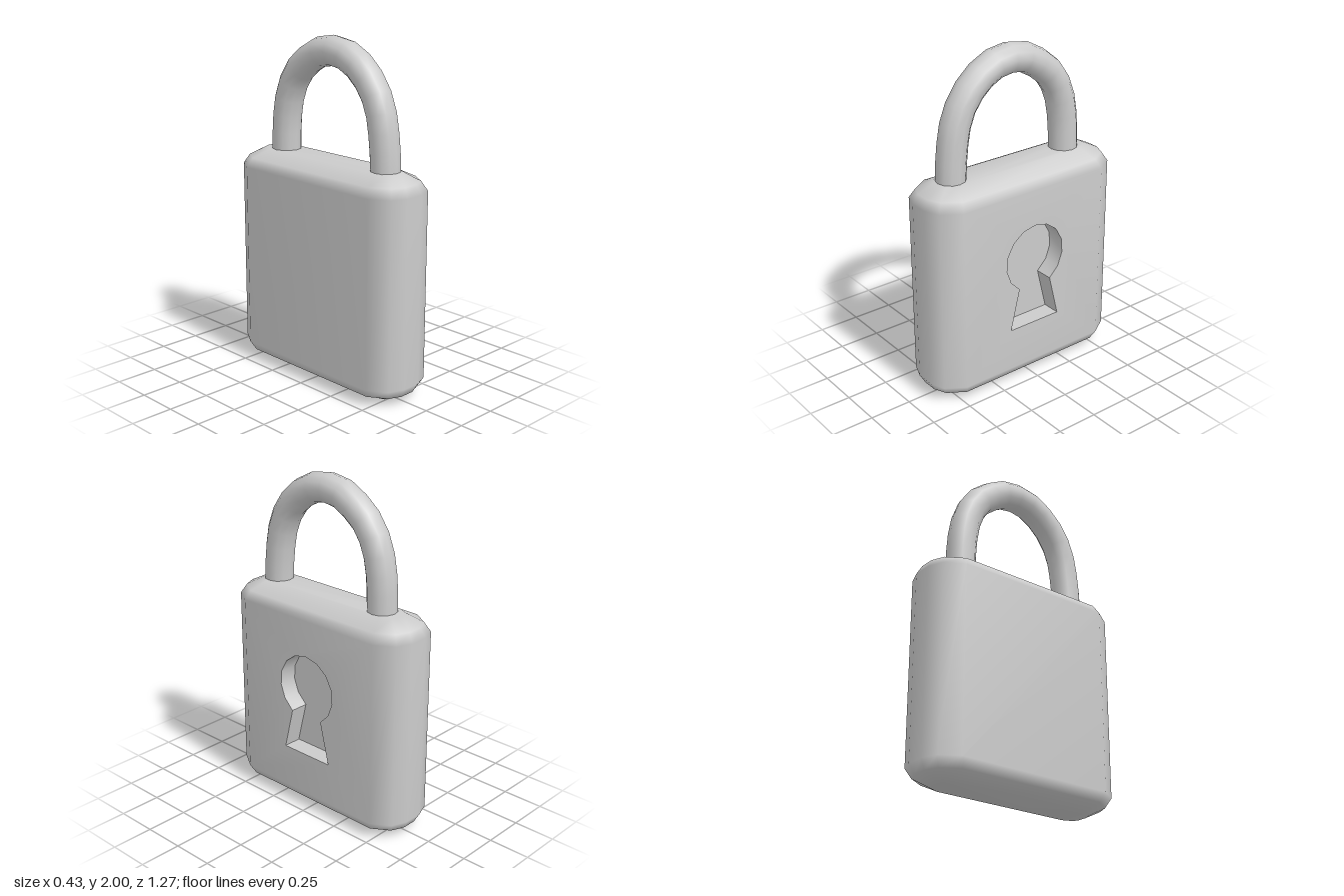
import * as THREE from 'three';
import { toCreasedNormals } from 'three/addons/utils/BufferGeometryUtils.js';

const HALF_X = 0.215, HOLE_DEPTH = 0.11;
const material = new THREE.MeshStandardMaterial({ color: 0xcccccc });

// Keyhole outline, counter-clockwise, drawn as seen from +x (u = -z, v = y)
function keyholePoints() {
  const pts = [new THREE.Vector2(-0.172, 0.36), new THREE.Vector2(0.172, 0.36)];
  const steps = 12, start = THREE.MathUtils.degToRad(-57), sweep = Math.PI - 2 * start;
  for (let i = 0; i <= steps; i++) {
    const a = start + (sweep * i) / steps;
    pts.push(new THREE.Vector2(0.203 * Math.cos(a), 0.782 + 0.203 * Math.sin(a)));
  }
  return pts;
}

// Closed ring of 12 points from one corner's three points, mirrored to four corners
function ring(y, [a, b, c]) {
  const put = (list, sx, sz) => list.map(([x, z]) => [sx * x, y, sz * z]);
  return [...put([c, b, a], 1, 1), ...put([a, b, c], -1, 1),
          ...put([c, b, a], -1, -1), ...put([a, b, c], 1, -1)];
}

// Bevelled block with a keyhole opening in its +x face
function bodyGeometry(hole) {
  const full = [[0.055, 0.635], [0.145, 0.6], [HALF_X, 0.49]];
  const mid = [[0.045, 0.605], [0.12, 0.572], [0.185, 0.47]];
  const cap = [[0.03, 0.505], [0.06, 0.49], [0.085, 0.43]];
  const rings = [ring(0, cap), ring(0.05, mid), ring(0.105, full),
                 ring(1.2, full), ring(1.254, mid), ring(1.305, cap)];
  const verts = rings.flat(), index = [], n = 12;
  for (let j = 0; j < rings.length - 1; j++) {
    for (let i = 0; i < n; i++) {
      if (j === 2 && i === n - 1) continue; // keyhole face
      const a = j * n + i, b = j * n + ((i + 1) % n);
      index.push(a, a + n, b, b, a + n, b + n);
    }
  }
  // Bottom and top caps
  const top = (rings.length - 1) * n;
  for (let i = 1; i < n - 1; i++) index.push(0, i, i + 1, top, top + i + 1, top + i);

  // Keyhole face
  const outer = [2 * n, 2 * n + 11, 3 * n + 11, 3 * n];
  const contour = outer.map(k => new THREE.Vector2(-verts[k][2], verts[k][1]));
  const ids = [...outer, ...hole.map((p, i) => verts.length + i)];
  const flat = [...contour, ...hole];
  hole.forEach(p => verts.push([HALF_X, p.y, -p.x]));
  const inner = hole.slice().reverse();
  const innerIds = [...outer, ...ids.slice(4).reverse()];
  const flatInner = [...contour, ...inner];
  for (const [a, b, c] of THREE.ShapeUtils.triangulateShape(contour, [inner])) {
    const ccw = THREE.ShapeUtils.area([flatInner[a], flatInner[b], flatInner[c]]) > 0;
    index.push(innerIds[a], innerIds[ccw ? b : c], innerIds[ccw ? c : b]);
  }

  const geo = new THREE.BufferGeometry();
  geo.setAttribute('position', new THREE.Float32BufferAttribute(verts.flat(), 3));
  geo.setIndex(index);
  geo.computeVertexNormals();
  return geo;
}

// Inward-facing side walls of the keyhole
function keyholeWallGeometry(hole) {
  const pos = [], back = HALF_X - HOLE_DEPTH;
  hole.forEach((p, i) => {
    const q = hole[(i + 1) % hole.length];
    pos.push(p.x, p.y, back, p.x, p.y, HALF_X, q.x, q.y, back,
             q.x, q.y, back, p.x, p.y, HALF_X, q.x, q.y, HALF_X);
  });
  const geo = new THREE.BufferGeometry();
  geo.setAttribute('position', new THREE.Float32BufferAttribute(pos, 3));
  return toCreasedNormals(geo, Math.PI / 5);
}

// Slightly lopsided arch, given as (z, y)
function shackleGeometry() {
  const path = [[0.42, 1.2], [0.42, 1.305], [0.408, 1.465], [0.38, 1.62], [0.325, 1.738],
                [0.235, 1.835], [0.13, 1.896], [0.02, 1.915], [-0.09, 1.896], [-0.185, 1.84],
                [-0.27, 1.765], [-0.335, 1.645], [-0.367, 1.49], [-0.375, 1.305], [-0.375, 1.2]];
  const curve = new THREE.CatmullRomCurve3(path.map(([z, y]) => new THREE.Vector3(0, y, z)));
  return new THREE.TubeGeometry(curve, 18, 0.086, 12, false);
}

export function createModel() {
  const model = new THREE.Group();
  model.name = 'padlock';
  const add = (name, geo, parent = model) => {
    const mesh = new THREE.Mesh(geo, material);
    mesh.name = name;
    parent.add(mesh);
    return mesh;
  };
  const hole = keyholePoints();
  add('body', bodyGeometry(hole));
  add('shackle', shackleGeometry());

  // Recess, drawn facing +z and turned to face +x
  const keyhole = new THREE.Group();
  keyhole.name = 'keyhole';
  keyhole.rotation.y = Math.PI / 2;
  add('keyholeWall', keyholeWallGeometry(hole), keyhole);
  add('keyholeFloor', new THREE.ShapeGeometry(new THREE.Shape(hole)), keyhole)
    .position.z = HALF_X - HOLE_DEPTH;
  model.add(keyhole);
  return model;
}
